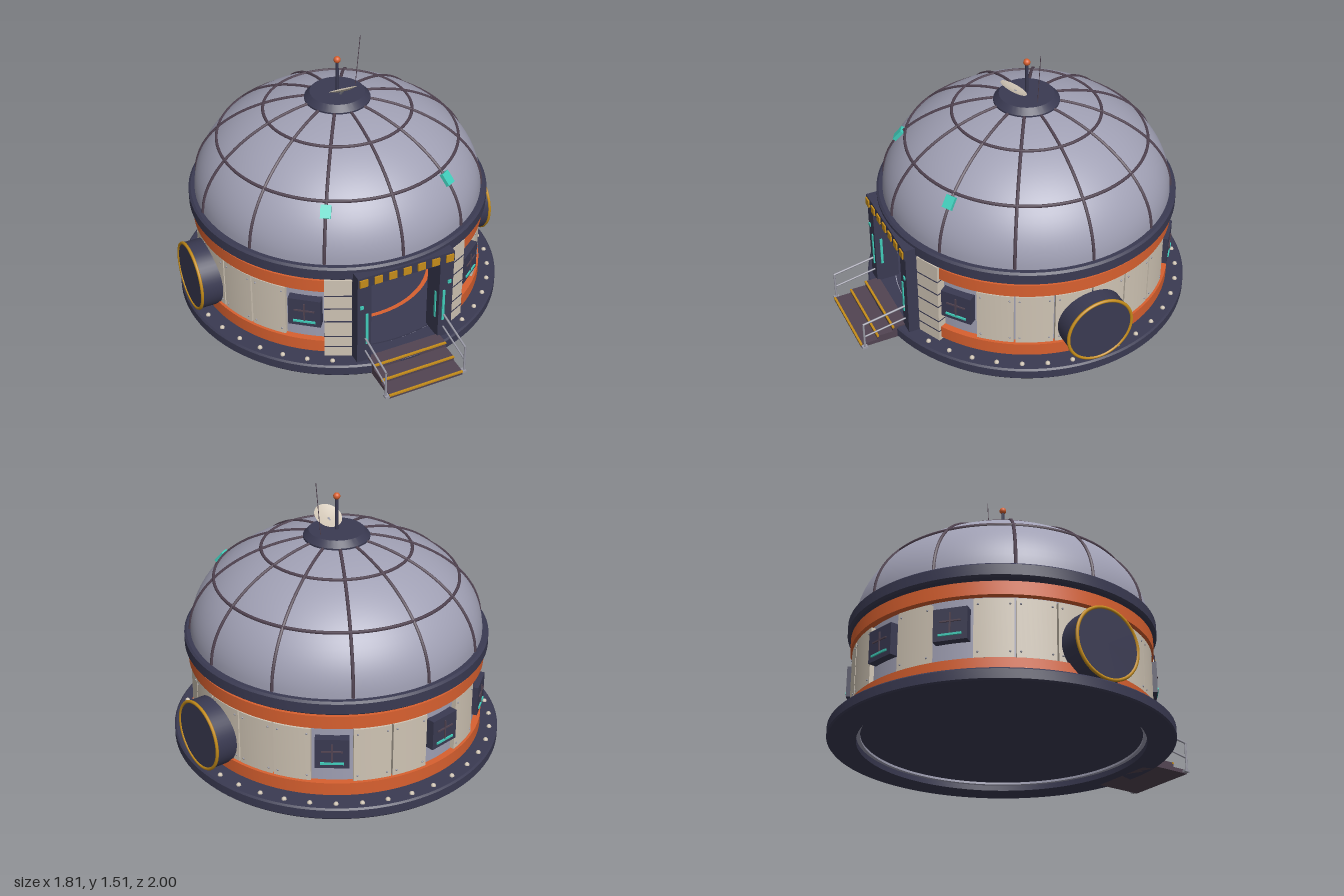
import * as THREE from 'three';
import { toCreasedNormals } from 'three/addons/utils/BufferGeometryUtils.js';

const V = (x, y, z) => new THREE.Vector3(x, y, z);
const DEG = Math.PI / 180;

export function createModel() {
  const mat = (name, color, side = THREE.FrontSide) => {
    const m = new THREE.MeshStandardMaterial({ color, side });
    m.name = name;
    return m;
  };
  const navy = mat('navy', 0x3a3a52), shell = mat('lavender grey', 0xa0a0b4, THREE.DoubleSide);
  const mauve = mat('dark mauve', 0x524452), cream = mat('cream', 0xcfc4b4, THREE.DoubleSide);
  const orange = mat('orange', 0xd8602f), gold = mat('gold', 0xc48c1a);
  const teal = mat('teal', 0x40ccba), steel = mat('steel', 0x9a9aa6);

  // Everything is built around the dome axis, which sits behind the origin
  const root = new THREE.Group();
  root.name = 'domeHabitat';
  const hab = new THREE.Group();
  hab.name = 'building';
  hab.position.z = -0.095;
  root.add(hab);

  const add = (name, geo, m, p = [0, 0, 0], parent = hab) => {
    const mesh = new THREE.Mesh(geo, m);
    mesh.name = name;
    mesh.position.set(...p);
    parent.add(mesh);
    return mesh;
  };
  const box = (name, w, h, d, m, p, parent) => add(name, new THREE.BoxGeometry(w, h, d), m, p, parent);
  const rod = (name, a, b, r, m, parent) => add(name,
    new THREE.TubeGeometry(new THREE.LineCurve3(a, b), 1, r, 8), m, [0, 0, 0], parent);
  // Group turned to an azimuth measured from the front (+z) towards +x
  const facing = (name, az) => {
    const g = new THREE.Group();
    g.name = name;
    g.rotation.y = az * DEG;
    hab.add(g);
    return g;
  };
  // Curved slab between two radii, two heights and two azimuths
  const arcSlab = (name, r0, r1, y0, y1, a0, a1, m) => {
    const s = new THREE.Shape(), p0 = (a0 - 90) * DEG, p1 = (a1 - 90) * DEG;
    s.absarc(0, 0, r1, p0, p1, false);
    s.absarc(0, 0, r0, p1, p0, true);
    const g = new THREE.ExtrudeGeometry(s, {
      depth: y1 - y0, bevelEnabled: false, curveSegments: Math.max(4, Math.ceil((a1 - a0) / 4)),
    });
    g.rotateX(-Math.PI / 2);
    return add(name, toCreasedNormals(g, 0.5), m, [0, y0, 0]);
  };
  // Full ring from a closed profile of [radius, y] points, running counter-clockwise
  const ring = (name, pts, m) => add(name, toCreasedNormals(
    new THREE.LatheGeometry(pts.map(p => new THREE.Vector2(...p)), 96), 0.5), m);

  // Base, floor and wall
  ring('baseRing', [[0.755, 0], [0.9, 0], [0.907, 0.008], [0.907, 0.056], [0.898, 0.065], [0.755, 0.065], [0.755, 0]], navy);
  ring('wallFoot', [[0.735, 0.03], [0.757, 0.03], [0.757, 0.06], [0.735, 0.06], [0.735, 0.03]], shell);
  add('floor', new THREE.CylinderGeometry(0.75, 0.75, 0.026, 64), navy, [0, 0.055, 0]);
  const floorRing = add('floorRing', new THREE.RingGeometry(0.515, 0.54, 64), orange, [0, 0.07, 0]);
  floorRing.rotation.x = -Math.PI / 2;
  arcSlab('wall', 0.745, 0.772, 0.06, 0.6, 17, 343, shell);
  arcSlab('lowerBand', 0.77, 0.808, 0.083, 0.155, 28, 332, orange);
  arcSlab('upperBand', 0.77, 0.808, 0.485, 0.557, 28, 332, orange);
  ring('eaveRing', [[0.74, 0.573], [0.815, 0.573], [0.827, 0.583], [0.827, 0.64], [0.815, 0.65], [0.74, 0.65], [0.74, 0.573]], navy);

  // Bolts on the base, left out in front of the door
  for (let i = 2; i < 39; i++) {
    const a = i * 9 * DEG;
    add('baseBolt', new THREE.SphereGeometry(0.014, 8, 6), cream, [0.862 * Math.sin(a), 0.066, 0.862 * Math.cos(a)]);
  }

  // Wall bays, 15 degrees each: windows or riveted panels
  const windowBays = [30, 135, 180, 210, 315];
  for (let a = 30; a < 330; a += 15) {
    const bay = facing('wallBay', a + 7.5);
    if (windowBays.includes(a)) {
      box('window', 0.175, 0.17, 0.08, navy, [0, 0.34, 0.776], bay);
      box('windowBarUpright', 0.008, 0.11, 0.008, mauve, [0, 0.345, 0.818], bay);
      box('windowBarCross', 0.11, 0.008, 0.008, mauve, [0, 0.355, 0.818], bay);
      box('windowLight', 0.12, 0.011, 0.009, teal, [0, 0.285, 0.819], bay);
    } else {
      arcSlab('wallPanel', 0.77, 0.797, 0.16, 0.47, a + 0.35, a + 14.65, cream);
      for (const x of [-0.078, 0.078]) for (const y of [0.19, 0.44])
        add('rivet', new THREE.SphereGeometry(0.006, 6, 4), steel, [x, y, 0.793], bay);
    }
  }

  // Round side hatches
  for (const s of [-1, 1]) {
    const hatch = facing('sideHatch', s * 90);
    const drum = add('hatchDrum', new THREE.CylinderGeometry(0.188, 0.188, 0.13, 48), navy, [0, 0.26, 0.83], hatch);
    drum.rotation.x = Math.PI / 2;
    add('hatchTrim', new THREE.TorusGeometry(0.186, 0.009, 8, 56), gold, [0, 0.26, 0.893], hatch);
  }

  // Dome with ribs
  const R = 0.793, H = 0.54, Y0 = 0.645;
  const domePoint = (t, k = 1) => new THREE.Vector2(R * k * Math.cos(t), Y0 + H * k * Math.sin(t));
  const profile = [];
  for (let i = 0; i <= 24; i++) profile.push(domePoint(i / 24 * Math.PI / 2));
  add('dome', new THREE.LatheGeometry(profile, 96), shell);
  for (let i = 0; i < 12; i++) {
    const pts = [];
    for (let j = 0; j <= 12; j++) {
      const p = domePoint(0.02 + j / 12 * 1.36, 1.002);
      pts.push(V(0, p.y, p.x));
    }
    add('domeRib', new THREE.TubeGeometry(new THREE.CatmullRomCurve3(pts), 28, 0.009, 6), mauve,
      [0, 0, 0], facing('domeRibArm', i * 30));
  }
  for (const r of [0.4, 0.655]) {
    const p = domePoint(Math.acos(r / R), 1.002);
    const hoop = add('domeHoop', new THREE.TorusGeometry(p.x, 0.009, 6, 96), mauve, [0, p.y, 0]);
    hoop.rotation.x = Math.PI / 2;
  }
  // Lamps on the front ribs
  for (const s of [-1, 1]) {
    const t = Math.acos(0.69 / R), p = domePoint(t, 1.01);
    const lamp = box('domeLamp', 0.055, 0.07, 0.024, teal, [0, p.y, p.x], facing('domeLampArm', s * 30));
    lamp.rotation.x = -Math.atan2(Math.sin(t) / H, Math.cos(t) / R);
  }

  // Roof cap, mast, dish and whip aerial
  ring('roofCap', [[0, 1.15], [0.178, 1.15], [0.178, 1.18], [0.148, 1.212], [0, 1.212]], navy);
  rod('mast', V(0, 1.2, 0), V(0, 1.4, 0), 0.009, navy);
  add('mastBeacon', new THREE.SphereGeometry(0.019, 16, 12), orange, [0, 1.4, 0]);
  const dishProfile = [[0, -0.008], [0.04, -0.006], [0.078, 0.004]].map(p => new THREE.Vector2(...p));
  const dish = add('dish', new THREE.LatheGeometry(dishProfile, 32), cream, [0, 1.258, 0.078]);
  dish.rotation.x = -30 * DEG;
  rod('dishArm', V(0, 1.2, 0.03), V(0, 1.25, 0.075), 0.006, steel);
  rod('whipAerial', V(0.11, 1.2, -0.01), V(0.14, 1.51, -0.01), 0.002, mauve);

  // Doorway: header with hazard blocks, jambs and segmented pillars
  box('doorHeader', 0.56, 0.064, 0.13, navy, [0, 0.592, 0.775]);
  for (let i = -3; i <= 3; i++) box('hazardBlock', 0.045, 0.044, 0.012, gold, [i * 0.083, 0.59, 0.842]);
  for (const s of [-1, 1]) {
    box('doorJamb', 0.08, 0.5, 0.13, navy, [s * 0.24, 0.313, 0.77]);
    box('jambLight', 0.014, 0.2, 0.009, teal, [s * 0.226, 0.28, 0.837]);
    box('jambLightInner', 0.008, 0.17, 0.014, teal, [s * 0.198, 0.27, 0.8]);
    box('doorButton', 0.02, 0.02, 0.009, teal, [s * 0.257, 0.43, 0.837]);
    const pillar = facing('doorPillar', s * 25);
    box('pillarBlock', 0.145, 0.505, 0.06, cream, [0, 0.3175, 0.79], pillar);
    for (const y of [0.13, 0.2, 0.3, 0.385, 0.47])
      box('pillarSeam', 0.147, 0.006, 0.064, navy, [0, y, 0.79], pillar);
  }

  // Entry steps with gold nosings
  [[0.82, 0.905, 0.074], [0.905, 0.995, 0.046], [0.995, 1.092, 0.022]].forEach(([z0, z1, h]) => {
    box('step', 0.43, h, z1 - z0, mauve, [0, h / 2, (z0 + z1) / 2]);
    box('stepNosing', 0.432, 0.009, 0.012, gold, [0, h - 0.003, z1 - 0.003]);
  });
  // Handrails
  for (const s of [-1, 1]) {
    const x = s * 0.232;
    rod('railPost', V(x, 0.005, 1.075), V(x, 0.172, 1.075), 0.006, steel);
    rod('railTop', V(x, 0.17, 1.078), V(x, 0.215, 0.83), 0.006, steel);
    rod('railMiddle', V(x, 0.085, 1.075), V(x, 0.13, 0.83), 0.005, steel);
    box('railFoot', 0.03, 0.012, 0.03, steel, [x * 0.97, 0.01, 1.075]);
  }

  // Interior: table, wall liner, pipes and lights
  add('tableTop', new THREE.CylinderGeometry(0.13, 0.13, 0.012, 32), cream, [0, 0.235, 0]);
  add('tableLeg', new THREE.CylinderGeometry(0.014, 0.014, 0.16, 12), mauve, [0, 0.15, 0]);
  add('tableFoot', new THREE.CylinderGeometry(0.015, 0.06, 0.03, 24), mauve, [0, 0.083, 0]);
  arcSlab('innerPanel', 0.732, 0.746, 0.2, 0.54, 166, 179, cream);
  for (const x of [0, 0.07]) {
    rod('wallPipe', V(x, 0.068, -0.7), V(x, 0.55, -0.7), 0.01, mauve);
    for (const y of [0.4, 0.51]) add('pipeCollar', new THREE.CylinderGeometry(0.016, 0.016, 0.015, 10), mauve, [x, y, -0.7]);
  }
  for (const a of [168, 180, 192]) box('wallLight', 0.09, 0.018, 0.01, teal, [0, 0.165, 0.738], facing('wallLightArm', a));
  return root;
}
